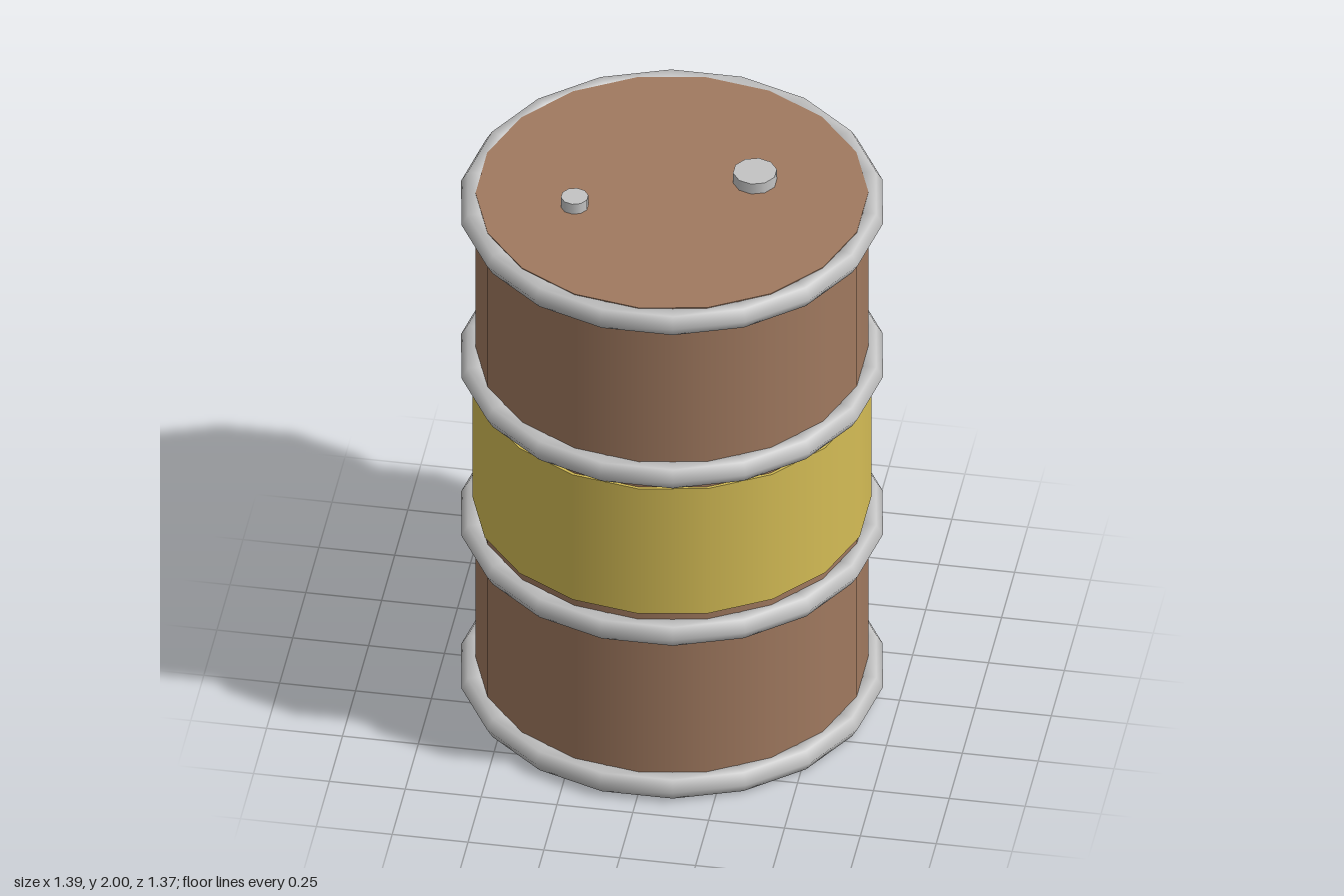
import * as THREE from 'three';

const SIDES = 18;

export function createModel() {
  const barrel = new THREE.Group();
  barrel.name = 'barrel';

  const material = (name, color) => {
    const m = new THREE.MeshStandardMaterial({ color });
    m.name = name;
    return m;
  };
  const brown = material('brown paint', 0xa0795f);
  const yellow = material('yellow paint', 0xd4bc55);
  const steel = material('light steel', 0xc4c4c4);

  const add = (name, geometry, mat, x, y, z) => {
    const mesh = new THREE.Mesh(geometry, mat);
    mesh.name = name;
    mesh.position.set(x, y, z);
    barrel.add(mesh);
  };

  // Upright cylinder spanning two heights
  const addCylinder = (name, mat, radius, bottom, top, sides, x = 0, z = 0) =>
    add(name, new THREE.CylinderGeometry(radius, radius, top - bottom, sides), mat, x, (bottom + top) / 2, z);

  // Drum and the painted band around its middle
  addCylinder('drum', brown, 0.638, 0, 1.96, SIDES);
  addCylinder('band', yellow, 0.648, 0.73, 1.235, SIDES);

  // Rims at both ends and two hoops between them
  const ring = new THREE.TorusGeometry(0.652, 0.043, 6, SIDES).rotateX(Math.PI / 2);
  [['bottomRim', 0.045], ['lowerHoop', 0.663], ['upperHoop', 1.3], ['topRim', 1.92]]
    .forEach(([name, y]) => add(name, ring, steel, 0, y, 0));

  // Filler and vent plugs on the lid
  addCylinder('fillerPlug', steel, 0.072, 1.92, 2, 10, 0.255, -0.107);
  addCylinder('ventPlug', steel, 0.045, 1.92, 2, 10, -0.299, 0.127);

  return barrel;
}
